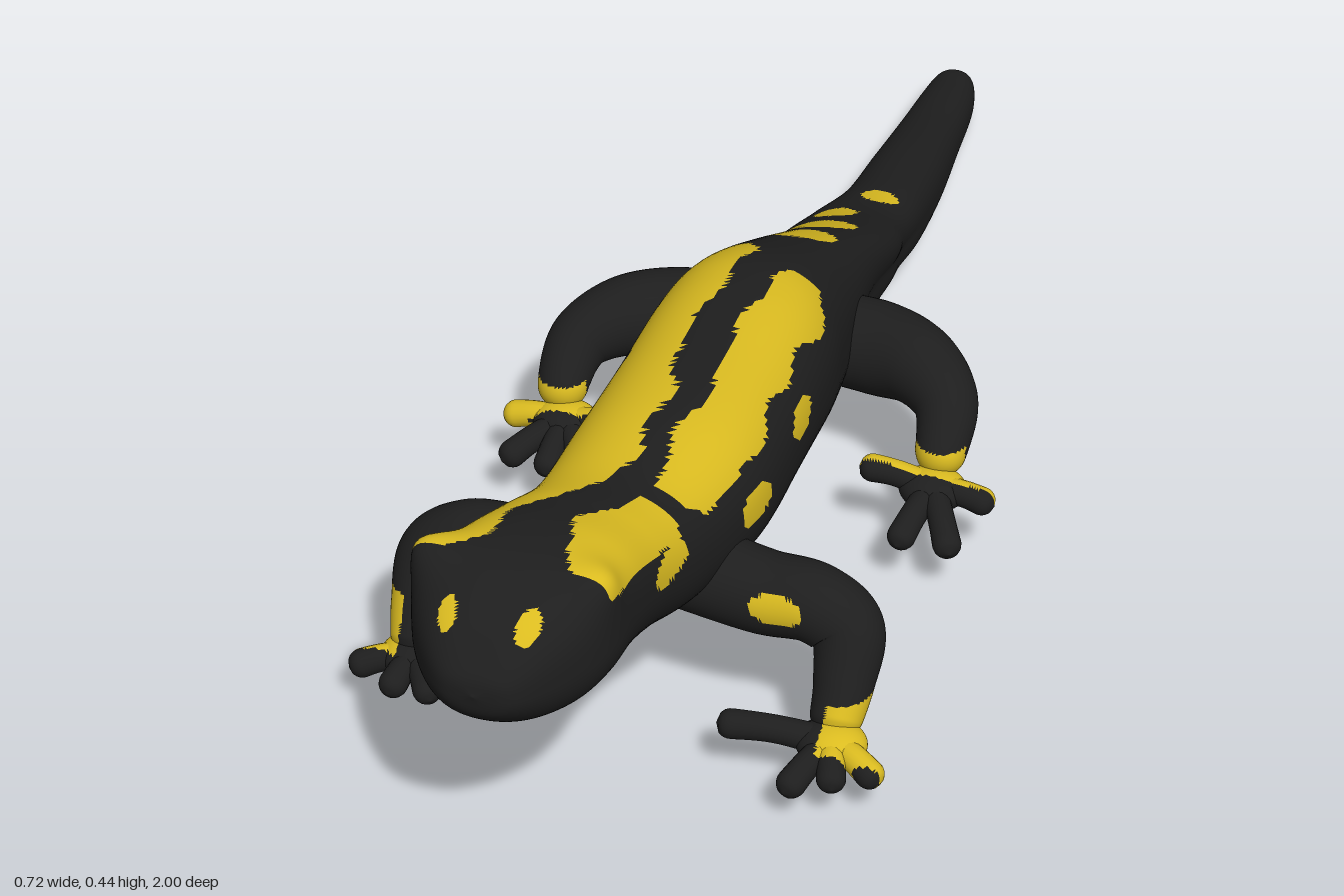
import * as THREE from 'three';

const black = new THREE.MeshStandardMaterial({ color: 0x1e1e1e });
black.name = 'black skin';
const yellow = new THREE.MeshStandardMaterial({ color: 0xdabb20 });
yellow.name = 'yellow markings';

// ---- Marking rules ----
const inEllipse = (u, v, [cu, cv, ru, rv]) => ((u - cu) / ru) ** 2 + ((v - cv) / rv) ** 2 < 1;

// A stripe is a list of [z, x from, x to]
function inStripe(x, z, rows) {
  for (let i = 0; i < rows.length - 1; i++) {
    const a = rows[i], b = rows[i + 1];
    if (z < a[0] || z > b[0]) continue;
    const k = (z - a[0]) / (b[0] - a[0]), wave = 0.006 * Math.sin(z * 48);
    return x > a[1] + (b[1] - a[1]) * k + wave && x < a[2] + (b[2] - a[2]) * k + wave;
  }
  return false;
}

const stripes = [
  [[0, -0.07, -0.03], [0.04, -0.095, -0.005], [0.2, -0.105, -0.015], [0.3, -0.103, -0.025], [0.4, -0.113, 0],
    [0.55, -0.113, 0], [0.63, -0.125, -0.01], [0.68, -0.135, -0.05], [0.75, -0.16, -0.085], [0.83, -0.2, -0.1], [0.865, -0.2, -0.13]],
  [[0.08, 0.06, 0.1], [0.12, 0.045, 0.117], [0.28, 0.035, 0.113], [0.38, 0.05, 0.117], [0.48, 0.035, 0.122],
    [0.56, 0.035, 0.115], [0.61, 0.045, 0.085]],
  [[0.64, 0.04, 0.08], [0.68, 0.02, 0.14], [0.75, -0.005, 0.14], [0.83, 0, 0.14], [0.87, 0.03, 0.14]],
];
// Ellipses in x,z on the tail root and in z,y on the flanks
const topSpots = [[0.01, -0.12, 0.05, 0.036], [-0.005, -0.23, 0.06, 0.038], [-0.005, -0.34, 0.03, 0.03], [0.03, -0.44, 0.028, 0.02]];
const leftSpots = [[0.48, 0.29, 0.04, 0.025], [0.3, 0.303, 0.04, 0.022], [0.69, 0.335, 0.045, 0.02]];
const rightSpots = [[0.23, 0.267, 0.04, 0.028], [0.38, 0.292, 0.036, 0.025], [0.54, 0.302, 0.037, 0.028]];
const eyeSpots = [[-0.105, 0.4, 0.012, 0.014], [-0.004, 0.4, 0.014, 0.015]];

function bodyMarks(x, y, z) {
  const upper = z > 0.64 ? 0.36 + (z - 0.7) * 0.27 : Math.min(0.34, 0.27 + 0.35 * z);
  if (y > upper && (stripes.some(s => inStripe(x, z, s)) || topSpots.some(s => inEllipse(x, z, s)))) return true;
  if ((x > 0.01 ? leftSpots : rightSpots).some(s => inEllipse(z, y, s))) return true;
  if (z > 0.88 && eyeSpots.some(s => inEllipse(x, y, s))) return true;
  // mouth line under the chin
  const m = (x + 0.065) / 0.07;
  return z > 0.83 && z < 0.91 && Math.abs(m) < 1.05 && Math.abs(y - 0.241 - 0.018 * m * m) < 0.005;
}

function frontLegMarks(x, y, z) {
  if (z > 0.55 && (inEllipse(x, y, [-0.178, 0.222, 0.026, 0.03]) || inEllipse(x, y, [0.19, 0.215, 0.035, 0.02]))) return true;
  if (x > 0) return x > 0.27 && y < 0.12 && z > 0.58 && z < 0.69;
  return (x < -0.292 && y > 0.085 && y < 0.152) || (x < -0.305 && z < 0.65 && y < 0.085);
}

function backLegMarks(x, y, z) {
  if (z > 0.085 && z < 0.13 && y < 0.145 && Math.abs(x) > 0.165) return true;
  // patch inside the left thigh
  return x > 0.17 && x < 0.245 && z < 0.06 && inEllipse(x - z, y, [0.225, 0.145, 0.035, 0.03]);
}

// ---- Geometry helpers ----
// Closed skin over rings; point(i, angle) gives a position
function skin(rings, sides, point) {
  const pos = [], idx = [];
  for (let i = 0; i <= rings; i++) {
    for (let j = 0; j < sides; j++) pos.push(...point(i, (j / sides) * Math.PI * 2).toArray());
    if (i === rings) continue;
    for (let j = 0; j < sides; j++) {
      const k = (j + 1) % sides, a = i * sides + j, b = i * sides + k;
      idx.push(a, a + sides, b, b, a + sides, b + sides);
    }
  }
  const g = new THREE.BufferGeometry();
  g.setAttribute('position', new THREE.Float32BufferAttribute(pos, 3));
  g.setIndex(idx);
  g.computeVertexNormals();
  return g;
}

// Sorts the triangles into a black and a yellow group
function painted(name, g, marks) {
  const p = g.attributes.position, src = g.index.array, sets = [[], []];
  for (let i = 0; i < src.length; i += 3) {
    const t = [src[i], src[i + 1], src[i + 2]];
    const mid = get => t.reduce((s, v) => s + p[get](v), 0) / 3;
    sets[marks(mid('getX'), mid('getY'), mid('getZ')) ? 1 : 0].push(...t);
  }
  g.setIndex([...sets[0], ...sets[1]]);
  g.clearGroups();
  g.addGroup(0, sets[0].length, 0);
  g.addGroup(sets[0].length, sets[1].length, 1);
  const mesh = new THREE.Mesh(g, [black, yellow]);
  mesh.name = name;
  return mesh;
}

// Round-ended limb through points [x, y, z, radius]
function limb(pts, rings, sides) {
  const curve = new THREE.CatmullRomCurve3(pts.map(p => new THREE.Vector3(p[0], p[1], p[2])));
  const radii = new THREE.CatmullRomCurve3(pts.map(p => new THREE.Vector3(p[3], 0, 0)), false, 'catmullrom');
  const f = curve.computeFrenetFrames(rings), cap = pts[pts.length - 1][3] / curve.getLength();
  return skin(rings, sides, (i, a) => {
    const u = i / rings, e = Math.max(0, (u - 1 + cap) / cap);
    const r = radii.getPoint(curve.getUtoTmapping(u)).x * Math.sqrt(Math.max(0, 1 - e * e));
    return curve.getPointAt(u).addScaledVector(f.normals[i], r * Math.cos(a)).addScaledVector(f.binormals[i], -r * Math.sin(a));
  });
}

// ---- Trunk, head and tail: [z, centre x, half width, bottom, top] ----
const sections = [
  [1, -0.055, 0, 0.33, 0.33], [0.99, -0.055, 0.045, 0.295, 0.358], [0.95, -0.055, 0.085, 0.26, 0.4],
  [0.9, -0.053, 0.115, 0.24, 0.428], [0.85, -0.05, 0.128, 0.235, 0.44], [0.78, -0.04, 0.122, 0.23, 0.435],
  [0.7, -0.03, 0.12, 0.21, 0.415], [0.6, -0.01, 0.12, 0.18, 0.393], [0.45, 0.007, 0.132, 0.155, 0.396],
  [0.3, 0.01, 0.131, 0.145, 0.394], [0.15, 0.008, 0.128, 0.13, 0.393], [0.05, 0.003, 0.12, 0.11, 0.375],
  [-0.08, 0, 0.105, 0.1, 0.32], [-0.2, 0, 0.09, 0.09, 0.265], [-0.32, 0, 0.086, 0.075, 0.21],
  [-0.4, 0.001, 0.076, 0.055, 0.18], [-0.5, 0.016, 0.062, 0.04, 0.16], [-0.65, 0.013, 0.055, 0.02, 0.13],
  [-0.8, 0.005, 0.047, 0.008, 0.096], [-0.92, 0, 0.04, 0.001, 0.076], [-0.975, -0.003, 0.031, 0.006, 0.067],
  [-0.994, -0.003, 0.017, 0.018, 0.055], [-1, -0.003, 0, 0.037, 0.037],
];
// Soft bulges over the eyes: centre and push direction
const eyeBulges = [
  [new THREE.Vector3(-0.15, 0.418, 0.86), new THREE.Vector3(-0.02, 0.016, 0)],
  [new THREE.Vector3(0.05, 0.415, 0.86), new THREE.Vector3(0.014, 0.012, 0)],
];

function bodyGeometry() {
  const line = f => new THREE.CatmullRomCurve3(sections.map(f), false, 'catmullrom');
  const centre = line(s => new THREE.Vector3(s[1], (s[3] + s[4]) / 2, s[0]));
  const size = line(s => new THREE.Vector3(s[2], (s[4] - s[3]) / 2, 0));
  const rings = (sections.length - 1) * 14, { lerp, smoothstep } = THREE.MathUtils;
  return skin(rings, 96, (i, a) => {
    const c = centre.getPoint(i / rings), h = size.getPoint(i / rings);
    const ca = Math.cos(a), sa = Math.sin(a);
    // the head is squarer on top, the hips and tail flatter below
    const e = sa > 0 ? lerp(0.88, 0.68, smoothstep(c.z, 0.65, 0.85)) : lerp(0.75, 0.92, smoothstep(c.z, 0, 0.3));
    const x = Math.sign(ca) * Math.abs(ca) ** e, y = Math.sign(sa) * Math.abs(sa) ** e;
    // the crest of the tail root leans to the left
    const lean = 0.035 * Math.exp(-(((c.z + 0.25) / 0.2) ** 2)) * Math.max(0, y);
    const p = new THREE.Vector3(c.x + Math.max(0, h.x) * x + lean, c.y + Math.max(0, h.y) * y, c.z);
    const weights = eyeBulges.map(([at]) => Math.exp(-p.distanceToSquared(at) / 0.0013));
    eyeBulges.forEach(([, push], k) => p.addScaledVector(push, weights[k]));
    return p;
  });
}

// ---- Legs: path for the left side, palm and digit tips for each side ----
const frontPath = [[0.04, 0.22, 0.53, 0.058], [0.16, 0.203, 0.54, 0.054], [0.23, 0.203, 0.545, 0.051],
  [0.272, 0.178, 0.553, 0.048], [0.28, 0.125, 0.59, 0.039], [0.278, 0.085, 0.62, 0.033], [0.278, 0.068, 0.637, 0.028]];
const backPath = [[0.025, 0.185, -0.06, 0.06], [0.14, 0.185, -0.05, 0.064], [0.21, 0.19, -0.015, 0.055],
  [0.256, 0.172, 0.03, 0.044], [0.265, 0.138, 0.075, 0.036], [0.26, 0.105, 0.105, 0.031]];
const legs = [
  { name: 'leftFront', side: 1, path: frontPath, marks: frontLegMarks, palm: [0.28, 0.07, 0.645],
    tips: [[0.135, 0.08, 0.66], [0.245, 0.052, 0.738], [0.302, 0.056, 0.72], [0.355, 0.056, 0.69]] },
  { name: 'rightFront', side: -1, path: frontPath, marks: frontLegMarks, palm: [-0.275, 0.07, 0.63],
    tips: [[-0.355, 0.055, 0.66], [-0.288, 0.057, 0.702], [-0.23, 0.058, 0.7], [-0.178, 0.057, 0.655]] },
  { name: 'leftBack', side: 1, path: backPath, marks: backLegMarks, palm: [0.265, 0.095, 0.12],
    tips: [[0.165, 0.115, 0.125], [0.245, 0.072, 0.23], [0.318, 0.073, 0.23], [0.352, 0.09, 0.13]] },
  { name: 'rightBack', side: -1, path: backPath, marks: backLegMarks, palm: [-0.25, 0.095, 0.115],
    tips: [[-0.34, 0.085, 0.11], [-0.313, 0.072, 0.2], [-0.25, 0.07, 0.21], [-0.195, 0.075, 0.2], [-0.13, 0.115, 0.13]] },
];

export function createModel() {
  const model = new THREE.Group();
  model.name = 'salamander';
  model.add(painted('body', bodyGeometry(), bodyMarks));

  for (const { name, side, path, marks, palm, tips } of legs) {
    const leg = new THREE.Group();
    leg.name = name + 'Leg';
    leg.add(painted(name + 'Limb', limb(path.map(p => [p[0] * side, p[1], p[2], p[3]]), 110, 40), marks));
    const foot = new THREE.SphereGeometry(1, 36, 24).scale(0.046, 0.027, 0.04).translate(...palm);
    leg.add(painted(name + 'Foot', foot, marks));
    for (const tip of tips) {
      const mid = palm.map((v, i) => (v + tip[i]) / 2);
      mid[1] += 0.006;
      leg.add(painted(name + 'Toe', limb([[...palm, 0.02], [...mid, 0.018], [...tip, 0.02]], 28, 18), marks));
    }
    model.add(leg);
  }
  return model;
}
